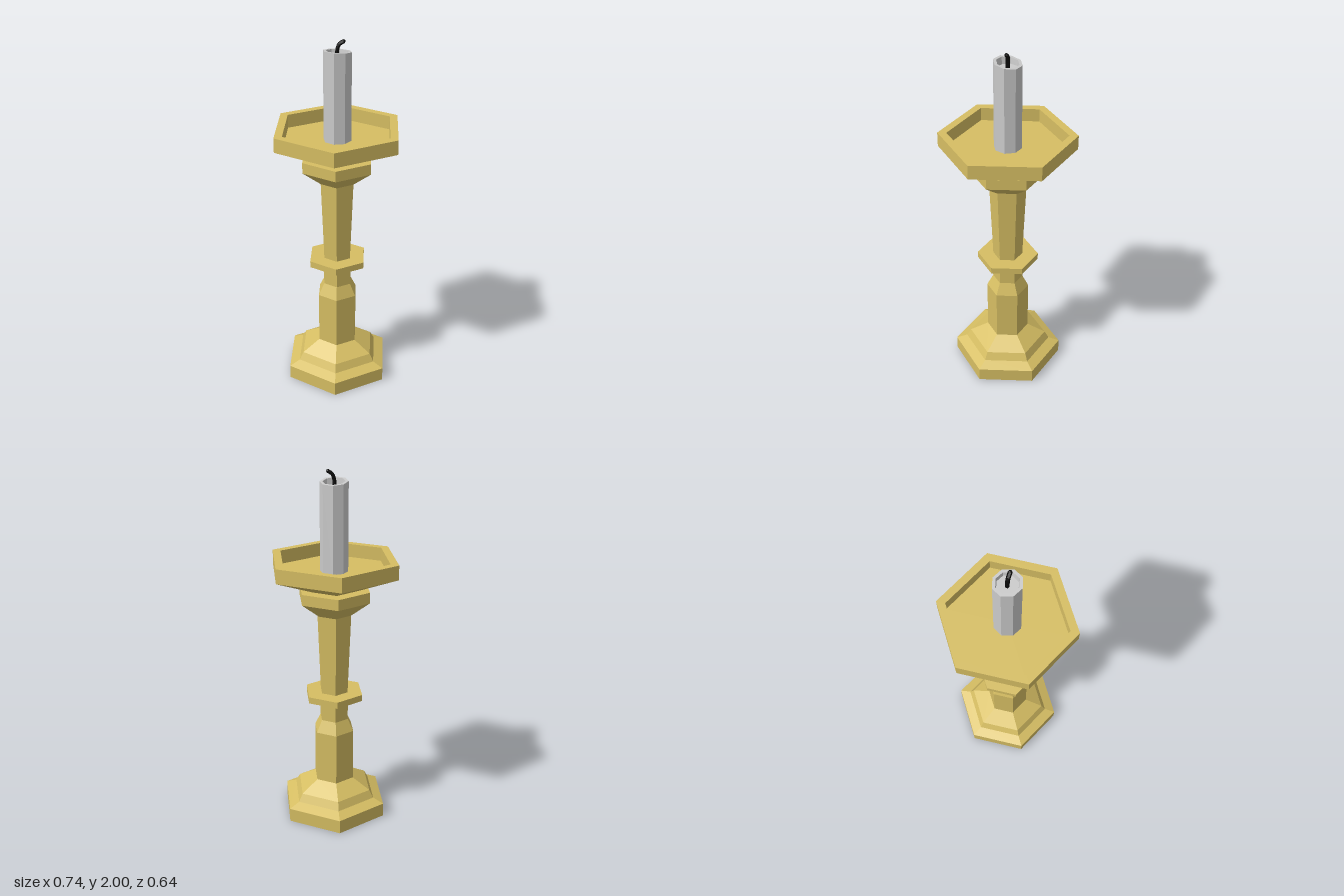
import * as THREE from 'three';

// Faceted solid of revolution from [radius, height] pairs, listed bottom to top
function turned(name, profile, sides, phase, material) {
  const points = profile.map(([r, y]) => new THREE.Vector2(r, y));
  const mesh = new THREE.Mesh(new THREE.LatheGeometry(points, sides, phase), material);
  mesh.name = name;
  return mesh;
}

export function createModel() {
  const model = new THREE.Group();
  model.name = 'candlestick';
  const brass = new THREE.MeshStandardMaterial({ color: 0xd6be63, flatShading: true });
  const wax = new THREE.MeshStandardMaterial({ color: 0xcccccc, flatShading: true });
  const black = new THREE.MeshStandardMaterial({ color: 0x0a0a0a, flatShading: true });

  // Hexagonal brass parts, corners on the x axis
  const brassParts = {
    foot: [[0, 0], [0.313, 0], [0.313, 0.08], [0.25, 0.105], [0.225, 0.15], [0.12, 0.21]],
    lowerStem: [[0.12, 0.21], [0.12, 0.515], [0.085, 0.585], [0.085, 0.715]],
    collar: [[0.085, 0.715], [0.172, 0.715], [0.172, 0.752], [0.083, 0.752]],
    upperStem: [[0.083, 0.752], [0.102, 1.215]],
    cup: [[0.102, 1.215], [0.21, 1.3], [0.21, 1.36], [0.14, 1.36]],
    dripTray: [[0.14, 1.36], [0.37, 1.45], [0.37, 1.53], [0.322, 1.53], [0.322, 1.455], [0, 1.455]],
  };
  for (const [name, profile] of Object.entries(brassParts)) {
    model.add(turned(name, profile, 6, Math.PI / 2, brass));
  }

  // Octagonal candle with a hollow, unevenly melted top
  const candle = turned('candle',
    [[0.076, 1.455], [0.076, 1.938], [0.06, 1.938], [0.056, 1.905], [0, 1.905]], 8, 0.07, wax);
  const pos = candle.geometry.attributes.position;
  for (let i = 0; i < pos.count; i++) {
    if (pos.getY(i) > 1.92) {
      pos.setY(i, pos.getY(i) - 0.1 * pos.getX(i) + 0.08 * pos.getZ(i));
    }
  }
  candle.geometry.computeVertexNormals();
  model.add(candle);

  // Curved wick, closed by a small rounded tip
  const tip = new THREE.Vector3(0.025, 1.99, 0.02);
  const path = new THREE.CatmullRomCurve3([
    new THREE.Vector3(-0.002, 1.9, -0.002), new THREE.Vector3(0, 1.95, 0),
    new THREE.Vector3(0.008, 1.975, 0.006), tip,
  ]);
  const wick = new THREE.Group();
  wick.name = 'wick';
  const cord = new THREE.Mesh(new THREE.TubeGeometry(path, 8, 0.011, 6), black);
  cord.name = 'wickCord';
  const end = new THREE.Mesh(new THREE.SphereGeometry(0.011, 6, 4), black);
  end.name = 'wickTip';
  end.position.copy(tip);
  wick.add(cord, end);
  model.add(wick);

  return model;
}
